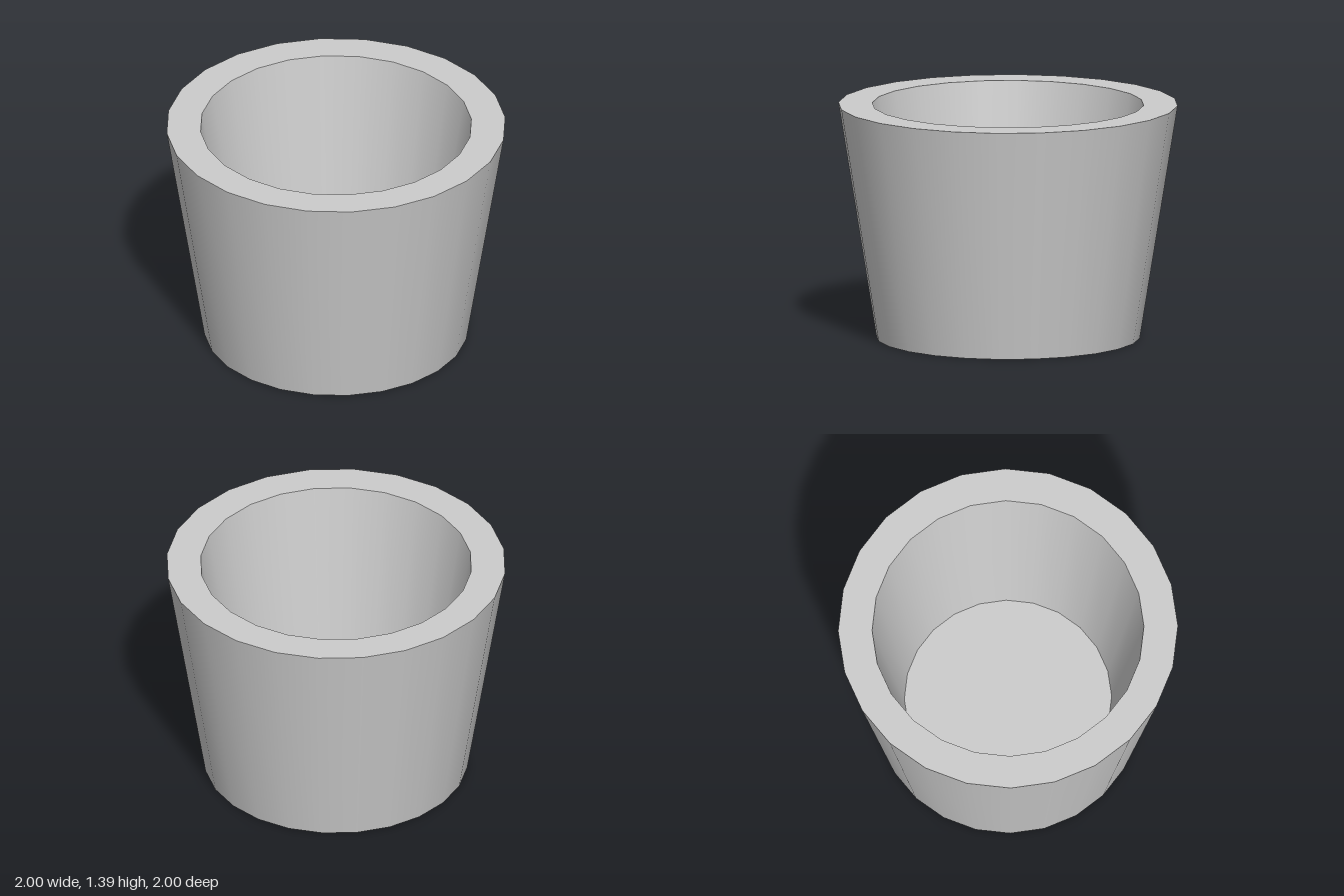
import * as THREE from 'three';

const SIDES = 24;

// Closed outline of the tapered cup, from the base centre round to the floor centre
const OUTLINE = [
  ['base', 0, 0],
  ['outerWall', 0.777, 0],
  ['rim', 1, 1.39],
  ['innerWall', 0.8, 1.39],
  ['floor', 0.61, 0.2],
  ['end', 0, 0.2],
];

export function createModel() {
  const group = new THREE.Group();
  group.name = 'taperedCup';
  const material = new THREE.MeshStandardMaterial({ color: 0xcccccc });

  // Each outline segment is its own smooth surface, so the edges between them stay sharp
  for (let i = 0; i < OUTLINE.length - 1; i++) {
    const [name, r0, y0] = OUTLINE[i];
    const [, r1, y1] = OUTLINE[i + 1];
    const profile = [new THREE.Vector2(r0, y0), new THREE.Vector2(r1, y1)];
    const mesh = new THREE.Mesh(new THREE.LatheGeometry(profile, SIDES), material);
    mesh.name = name;
    group.add(mesh);
  }
  return group;
}
